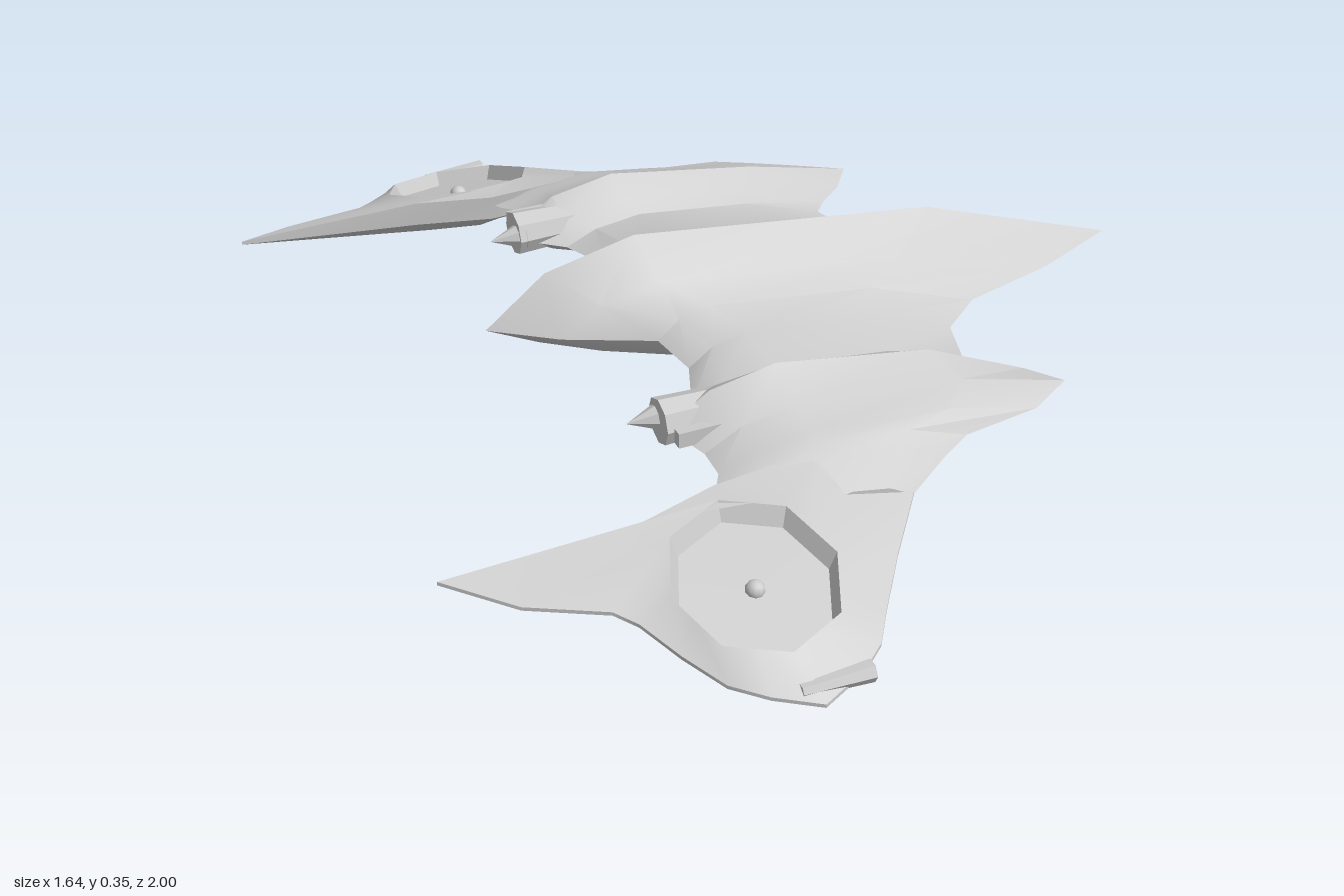
import * as THREE from 'three';
import { toCreasedNormals } from 'three/addons/utils/BufferGeometryUtils.js';

const { lerp } = THREE.MathUtils;
const hull = new THREE.MeshStandardMaterial({ color: 0xcccccc });
hull.name = 'paleGreyHull';

function mesh(geo, name, x = 0, y = 0, z = 0) {
  const m = new THREE.Mesh(geo, hull);
  m.name = name;
  m.position.set(x, y, z);
  return m;
}

// Skins a list of equal-length closed rings of [x, y, z]
function skin(rings, flip, capped) {
  const n = rings[0].length, idx = [];
  const tri = (a, b, c) => (flip ? idx.push(a, c, b) : idx.push(a, b, c));
  for (let i = 0; i < rings.length - 1; i++) {
    for (let j = 0; j < n; j++) {
      const a = i * n + j, b = i * n + (j + 1) % n;
      tri(a, b, a + n);
      tri(b, b + n, a + n);
    }
  }
  if (capped) {
    const e = (rings.length - 1) * n;
    for (let j = 1; j < n - 1; j++) {
      tri(0, j + 1, j);
      tri(e, e + j, e + j + 1);
    }
  }
  const g = new THREE.BufferGeometry();
  g.setAttribute('position', new THREE.Float32BufferAttribute(rings.flat(2), 3));
  g.setIndex(idx);
  return toCreasedNormals(g, 0.5);
}

// Body sections: z, tail x and y, ridge x and y, nose x
const sections = [
  [0, -0.52, 0.215, -0.22, 0.35, 0.82],
  [0.08, -0.40, 0.21, -0.20, 0.285, 0.64],
  [0.135, -0.23, 0.195, -0.12, 0.245, 0.44],
  [0.21, -0.20, 0.17, -0.08, 0.22, 0.35],
  [0.315, -0.24, 0.165, -0.08, 0.205, 0.32],
  [0.35, -0.32, 0.18, -0.10, 0.23, 0.35],
  [0.395, -0.325, 0.185, -0.11, 0.265, 0.405],
  [0.465, -0.28, 0.16, -0.10, 0.215, 0.455],
  [0.525, -0.28, 0.155, -0.10, 0.195, 0.36],
  [0.55, -0.295, 0.15, -0.10, 0.188, 0.20],
  [0.59, -0.31, 0.145, -0.10, 0.172, 0.13],
  [0.65, -0.15, 0.12, -0.08, 0.14, 0.04],
];

// Closed section; the belly dips under the hull and the nacelles
function bodyRing([z, tx, ty, rx, ry, nx], s) {
  const droop = Math.max(0, z - 0.55);
  const ny = 0.12 - 0.2 * droop;
  const low = 0.1 - 0.012 * Math.cos(z * 5 * Math.PI) - 0.28 * droop;
  const frontX = lerp(rx, nx, 0.6);
  return [
    [tx, ty], [lerp(tx, rx, 0.4), lerp(ty, ry, 0.7)], [rx, ry],
    [frontX, lerp(ry, ny, 0.35)], [nx, ny],
    [frontX, low + 0.004], [-0.04, low], [tx * 0.8, (low + ty) / 2 + 0.012],
  ].map(([x, y]) => [x, y, z * s]);
}

// Wing tip outline around the well: x, z and edge height
const CX = -0.32, CZ = 0.765;
const outline = [
  [-0.05, 0.765, 0.078], [-0.12, 0.86, 0.045], [-0.16, 0.92, 0.03], [-0.21, 0.96, 0.02],
  [-0.30, 1.0, 0.008], [-0.38, 0.96, 0.02], [-0.44, 0.92, 0.035], [-0.49, 0.85, 0.06],
  [-0.535, 0.78, 0.09], [-0.57, 0.75, 0.105], [-0.71, 0.70, 0.125], [-0.825, 0.62, 0.157],
  [-0.46, 0.615, 0.165], [-0.31, 0.57, 0.168], [-0.10, 0.56, 0.18], [0.04, 0.65, 0.105],
];
const deck = (z) => 0.167 - 0.345 * (z - 0.615);
const floor = (z) => deck(z) - 0.032;
const belly = (z) => 0.08 - 0.25 * (z - 0.615);
const edgeThickness = (z) => (z < 0.617 ? 0.05 : 0.007);

function tipGeometry(s) {
  // Sixteen samples along an octagon, matching the outline points
  const octagon = (r, height) => outline.map((_, k) => {
    const a = k * Math.PI / 8, q = k % 2 ? r * Math.cos(Math.PI / 8) : r;
    const z = CZ + q * Math.sin(a);
    return [CX + q * Math.cos(a), height(z), z * s];
  });
  return skin([
    octagon(0, floor), octagon(0.138, floor), octagon(0.153, deck),
    outline.map(([x, z, y]) => [x, y, z * s]),
    outline.map(([x, z, y]) => [x, y - edgeThickness(z), z * s]),
    octagon(0.14, belly), octagon(0, belly),
  ], s < 0, false);
}

// Faceted tube or cone lying along x
function tubeAlongX(rearRadius, frontRadius, length, sides) {
  const g = new THREE.CylinderGeometry(rearRadius, frontRadius, length, sides);
  return toCreasedNormals(g.rotateZ(Math.PI / 2), 0.5);
}

export function createModel() {
  const model = new THREE.Group();
  model.name = 'sweptWingCraft';

  // Central hull, nacelle ridges and inner wings in one skin
  const rings = [
    ...sections.slice(1).reverse().map((q) => bodyRing(q, -1)),
    ...sections.map((q) => bodyRing(q, 1)),
  ];
  model.add(mesh(skin(rings, true, true), 'hullAndInnerWings'));

  for (const s of [1, -1]) {
    const side = new THREE.Group();
    side.name = s > 0 ? 'leftWing' : 'rightWing';

    // Drooping wing tip with its octagonal well and rear spike
    side.add(mesh(tipGeometry(s), 'wingTip'));
    side.add(mesh(new THREE.SphereGeometry(0.018, 10, 8), 'wellHub', CX, floor(CZ), CZ * s));

    // Engine collar, exhaust cone and fin behind each nacelle
    side.add(mesh(tubeAlongX(0.045, 0.04, 0.12, 8), 'engineCollar', -0.27, 0.188, s * 0.375));
    side.add(mesh(tubeAlongX(0, 0.03, 0.07, 8), 'exhaustCone', -0.35, 0.188, s * 0.36));
    side.add(mesh(new THREE.BoxGeometry(0.12, 0.03, 0.02), 'engineFin', -0.26, 0.185, s * 0.435));

    // Small pod at the very tip
    side.add(mesh(tubeAlongX(0.012, 0.02, 0.13, 6), 'tipPod', -0.265, 0.021, s * 0.967));
    model.add(side);
  }
  return model;
}
